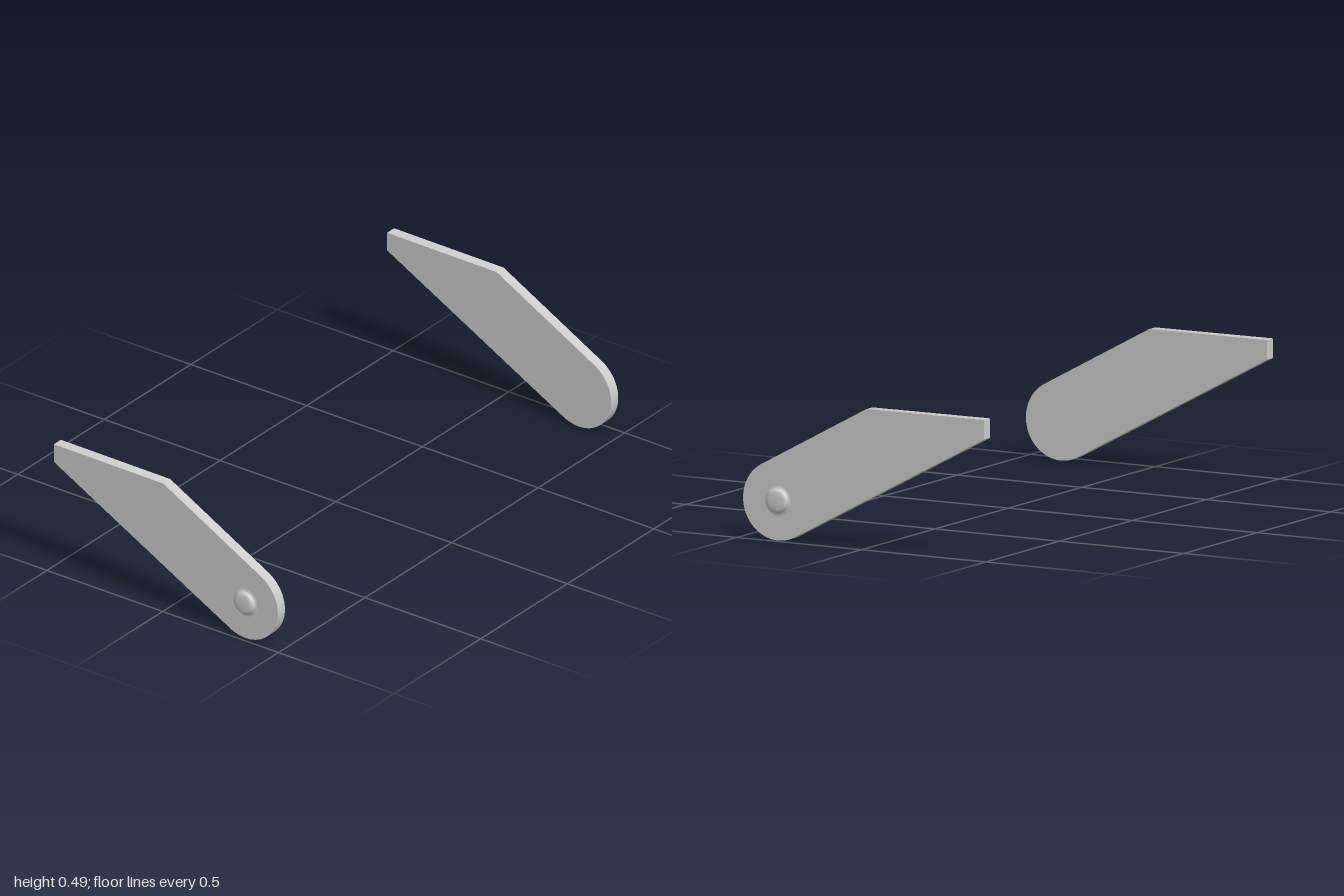
import * as THREE from 'three';
import { toCreasedNormals } from 'three/addons/utils/BufferGeometryUtils.js';

const INNER = 0.942, OUTER = 0.983;   // inner and outer faces of each plate
const PIVOT = { y: 0.14, z: 0.345 };

// Side plate: round front end, tapering to a clipped rear tip
function plateGeometry() {
  const tilt = THREE.MathUtils.degToRad(28.2);
  const shape = new THREE.Shape();
  shape.moveTo(0.483, 0.425);
  shape.lineTo(0.483, 0.494);
  shape.lineTo(0.01, 0.492);
  shape.absarc(-PIVOT.z, PIVOT.y, 0.14, Math.PI / 2 + tilt, Math.PI * 1.5 + tilt, false);
  shape.closePath();
  const geometry = new THREE.ExtrudeGeometry(shape, {
    depth: OUTER - INNER, bevelEnabled: false, curveSegments: 48,
  });
  geometry.rotateY(Math.PI / 2);
  return toCreasedNormals(geometry, 0.5);
}

// Pivot button: thin flared foot, short wall and a softly domed cap
function buttonGeometry() {
  const profile = [
    [0.053, 0], [0.047, 0.001], [0.043, 0.003], [0.042, 0.006], [0.040, 0.010],
    [0.036, 0.0135], [0.030, 0.0155], [0.016, 0.0167], [0, 0.017],
  ].map(([r, h]) => new THREE.Vector2(r, h));
  return new THREE.LatheGeometry(profile, 48);
}

export function createModel() {
  const model = new THREE.Group();
  const material = new THREE.MeshStandardMaterial({ color: 0xcccccc });
  const plateGeo = plateGeometry();
  const buttonGeo = buttonGeometry();

  for (const side of [1, -1]) {
    const arm = new THREE.Group();
    arm.name = side > 0 ? 'leftArm' : 'rightArm';

    const plate = new THREE.Mesh(plateGeo, material);
    plate.name = 'sidePlate';
    plate.position.x = side > 0 ? INNER : -OUTER;

    // Buttons face outward on both sides
    const button = new THREE.Mesh(buttonGeo, material);
    button.name = 'pivotButton';
    button.rotation.z = -side * Math.PI / 2;
    button.position.set(side * OUTER, PIVOT.y, PIVOT.z);

    arm.add(plate, button);
    model.add(arm);
  }
  return model;
}
